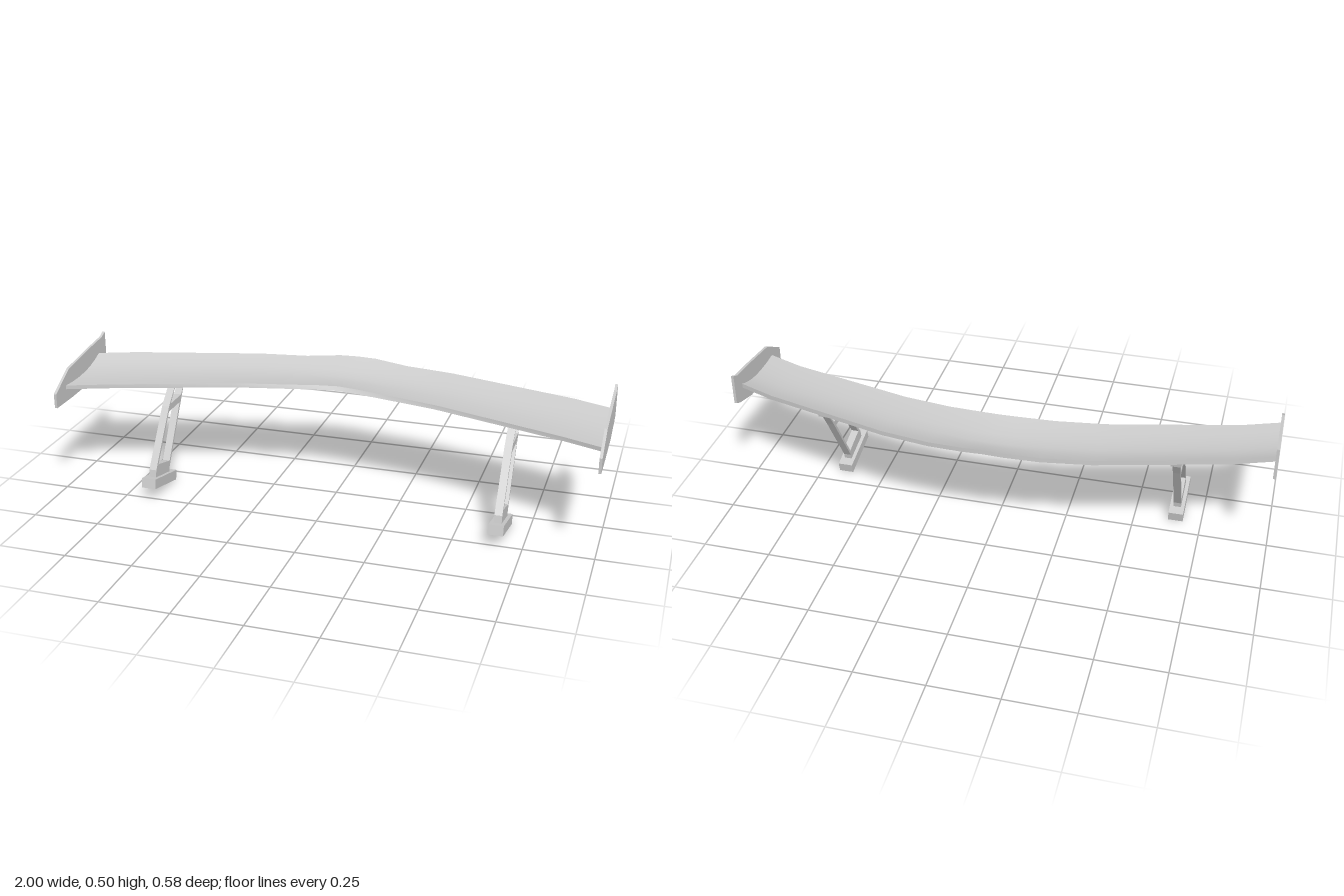
import * as THREE from 'three';
import { toCreasedNormals } from 'three/addons/utils/BufferGeometryUtils.js';

const material = new THREE.MeshStandardMaterial({ color: 0xcccccc });

// Plate cut from a [z, y] side outline, centred on x
function sidePlate(name, x, width, outline, holes = []) {
  const points = (list) => list.map(([z, y]) => new THREE.Vector2(-z, y));
  const shape = new THREE.Shape(points(outline));
  for (const hole of holes) shape.holes.push(new THREE.Path(points(hole)));
  const geometry = new THREE.ExtrudeGeometry(shape, { depth: width, bevelEnabled: false });
  geometry.translate(0, 0, -width / 2).rotateY(Math.PI / 2);
  const mesh = new THREE.Mesh(geometry, material);
  mesh.name = name;
  mesh.position.x = x;
  return mesh;
}

// Swept wing blade, lofted through mirrored cross-sections
function createBlade() {
  // x, rear z, front z, rear lift, front lift
  const half = [
    [0, -0.29, -0.01, 0.012, 0.022],
    [0.07, -0.29, -0.006, 0.01, 0.02],
    [0.2, -0.272, 0.006, 0, 0.014],
    [0.38, -0.245, 0.035, 0, 0.01],
    [0.85, -0.12, 0.16, 0, 0],
    [0.995, -0.065, 0.215, 0, 0],
  ];
  const mirrored = half.slice(1).reverse().map(([x, ...rest]) => [-x, ...rest]);
  const stations = [...mirrored, ...half];

  // chord fraction from the rear, top y, bottom y
  const section = [
    [0, 0.435, 0.418],
    [0.14, 0.42, 0.405],
    [0.28, 0.409, 0.393],
    [0.42, 0.402, 0.385],
    [0.6, 0.398, 0.383],
    [0.8, 0.398, 0.383],
    [1, 0.402, 0.387],
  ];
  const ring = [
    ...section.map(([t, top]) => [t, top]),
    ...section.map(([t, , bottom]) => [t, bottom]).reverse(),
  ];

  const positions = [];
  const index = [];
  const n = ring.length;
  stations.forEach(([x, rear, front, rearLift, frontLift], s) => {
    ring.forEach(([t, y], i) => {
      const lift = rearLift * Math.max(0, 1 - t / 0.42) + frontLift * Math.max(0, (t - 0.42) / 0.58);
      // the upper lip sits slightly behind the lower one at the middle
      const lip = i < n / 2 && t === 1 ? frontLift * 0.4 : 0;
      positions.push(x, y + lift, rear + (front - rear) * t - lip);
      if (s === stations.length - 1) return;
      const a = s * n + i;
      const b = s * n + ((i + 1) % n);
      index.push(a, b, b + n, a, b + n, a + n);
    });
  });
  const geometry = new THREE.BufferGeometry();
  geometry.setAttribute('position', new THREE.Float32BufferAttribute(positions, 3));
  geometry.setIndex(index);
  const mesh = new THREE.Mesh(toCreasedNormals(geometry, 0.6), material);
  mesh.name = 'blade';
  return mesh;
}

// Raked support with two openings, a foot and a mounting pad
function createSupport(x) {
  const support = new THREE.Group();
  support.name = x > 0 ? 'leftSupport' : 'rightSupport';
  const frame = [
    [0.22, 0.068], [0.213, 0.1], [0.07, 0.302], [0.0, 0.368], [0.0, 0.385],
    [-0.1, 0.385], [-0.095, 0.365], [-0.052, 0.3], [0.092, 0.065], [0.097, 0.04],
  ];
  const lowerOpening = [[0.19, 0.115], [0.09, 0.087], [-0.03, 0.283], [0.072, 0.283]];
  const upperOpening = [[0.053, 0.308], [-0.047, 0.308], [-0.088, 0.361], [0, 0.361]];
  support.add(
    sidePlate('supportFrame', x, 0.028, frame, [lowerOpening, upperOpening]),
    sidePlate('foot', x, 0.055, [[0.252, 0.081], [0.26, 0.045], [0.069, 0], [0.061, 0.037]]),
    sidePlate('mountingPad', x, 0.038, [[0.01, 0.37], [0.01, 0.388], [-0.116, 0.388], [-0.112, 0.368]]),
  );
  return support;
}

export function createModel() {
  const model = new THREE.Group();
  model.name = 'rearWing';
  model.add(createBlade());

  const endPlate = [
    [0.29, 0.34], [0.17, 0.34], [0, 0.346], [-0.1, 0.373], [-0.128, 0.386],
    [-0.128, 0.503], [-0.1, 0.49], [0, 0.48], [0.18, 0.457], [0.29, 0.395],
  ];
  for (const side of [-1, 1]) {
    model.add(sidePlate(side > 0 ? 'leftEndPlate' : 'rightEndPlate', side * 0.995, 0.01, endPlate));
    model.add(createSupport(side * 0.655));
  }
  return model;
}
